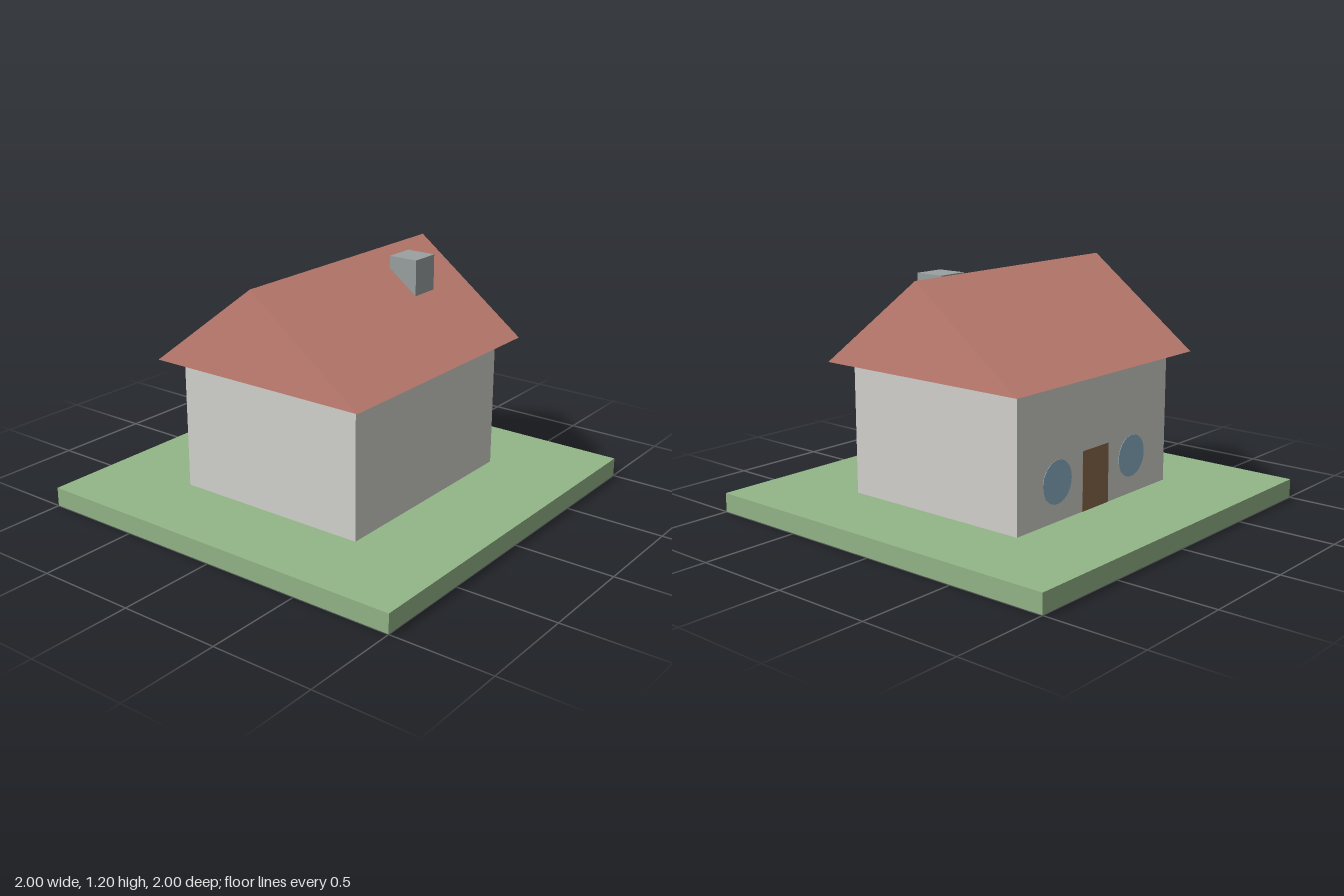
import * as THREE from 'three';

const colors = {
  grass: 0x93b588, wall: 0xd3d2ce, roof: 0xc98376,
  stone: 0x9aa0a1, wood: 0x8a6a4c, glass: 0x8db4c6,
};

function part(name, geometry, color, x, y, z) {
  const mesh = new THREE.Mesh(geometry, new THREE.MeshStandardMaterial({ color, flatShading: true }));
  mesh.name = name;
  mesh.position.set(x, y, z);
  return mesh;
}

// Box given by its extents along each axis
function box(name, color, [x0, x1], [y0, y1], [z0, z1]) {
  const geometry = new THREE.BoxGeometry(x1 - x0, y1 - y0, z1 - z0);
  return part(name, geometry, color, (x0 + x1) / 2, (y0 + y1) / 2, (z0 + z1) / 2);
}

export function createModel() {
  const model = new THREE.Group();
  model.name = 'house';

  // Lawn slab and house body
  model.add(box('lawn', colors.grass, [-1, 1], [0, 0.095], [-1, 1]));
  model.add(box('walls', colors.wall, [-0.575, 0.575], [0.095, 0.755], [-0.51, 0.51]));

  // Gable roof: a closed triangular prism along x
  const gable = new THREE.Shape([
    new THREE.Vector2(-0.59, 0),
    new THREE.Vector2(0.59, 0),
    new THREE.Vector2(0, 0.445),
  ]);
  const roof = new THREE.ExtrudeGeometry(gable, { depth: 1.34, bevelEnabled: false });
  roof.translate(0, 0, -0.67).rotateY(Math.PI / 2);
  model.add(part('roof', roof, colors.roof, 0, 0.755, 0));

  // Chimney on the front slope
  model.add(box('chimney', colors.stone, [0.24, 0.395], [0.96, 1.185], [0.1, 0.255]));

  // Door and round windows, nearly flush with the back wall
  model.add(box('door', colors.wood, [-0.1, 0.1], [0.095, 0.39], [-0.512, -0.49]));
  for (const side of [-1, 1]) {
    const pane = new THREE.CylinderGeometry(0.105, 0.105, 0.022, 32).rotateX(Math.PI / 2);
    model.add(part(side > 0 ? 'leftWindow' : 'rightWindow', pane, colors.glass, side * 0.29, 0.285, -0.501));
  }

  // Wooden block set into the underside of the lawn
  model.add(box('sunkenBlock', colors.wood, [-0.63, -0.35], [-0.001, 0.06], [0.46, 0.61]));

  return model;
}
